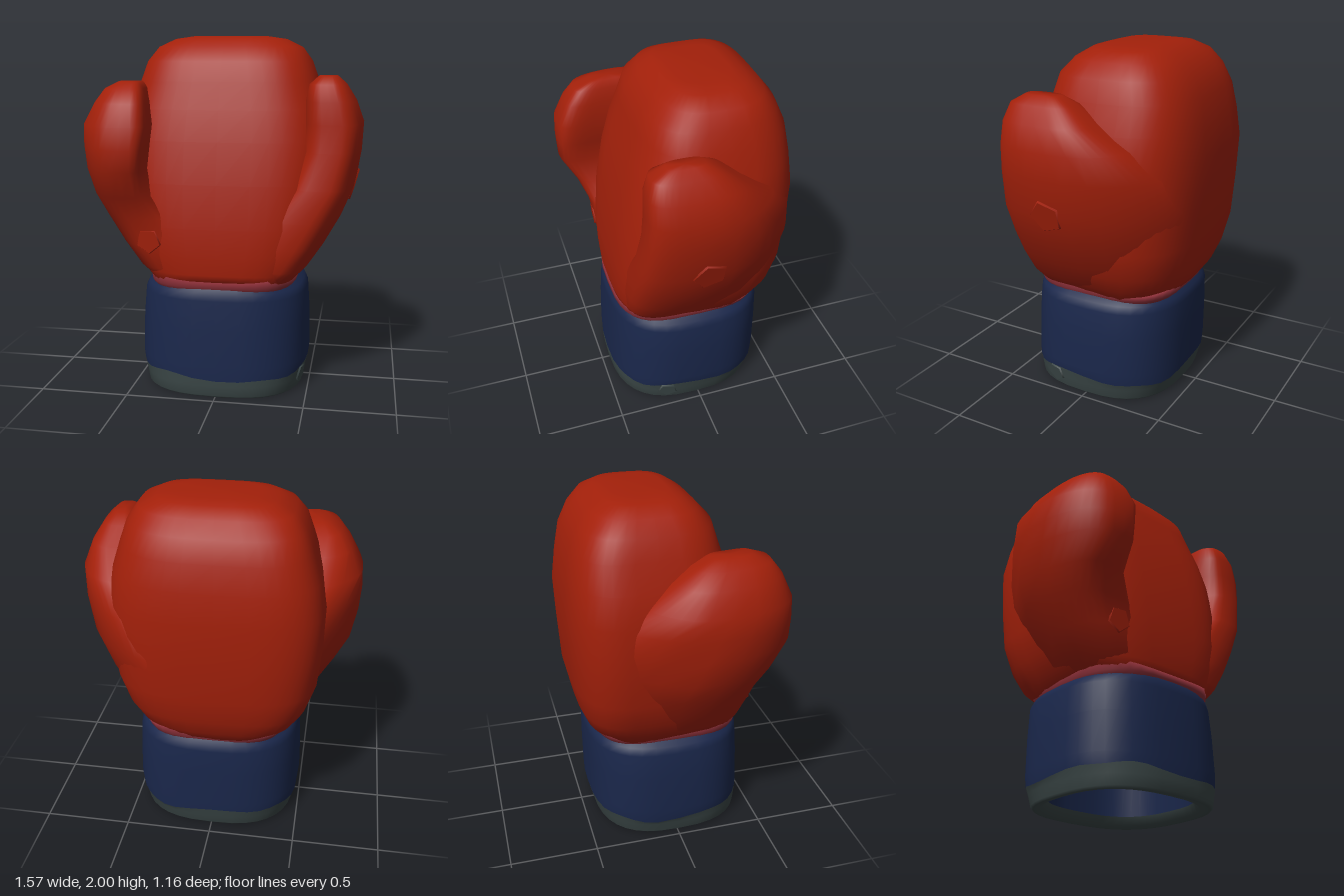
import * as THREE from 'three';

const mat = (name, color, side = THREE.FrontSide) => {
  const m = new THREE.MeshStandardMaterial({ color, side });
  m.name = name;
  return m;
};

// Rounded-box loft: each ring is [y, xMin, xMax, zBack, zFront].
// wave shifts y by angle and ring, slant shifts x by depth.
function loft(rings, { power = 2.7, seg = 36, capped = false, wave = () => 0, slant = () => 0 } = {}) {
  const pos = [], idx = [];
  const bend = (v) => Math.sign(v) * Math.pow(Math.abs(v), 2 / power);
  rings.forEach(([y, x0, x1, z0, z1], r) => {
    for (let i = 0; i < seg; i++) {
      const a = (i / seg) * Math.PI * 2;
      const z = (z0 + z1) / 2 + bend(Math.sin(a)) * (z1 - z0) / 2;
      const x = (x0 + x1) / 2 + bend(Math.cos(a)) * (x1 - x0) / 2;
      pos.push(x + slant(z), y + wave(a, r), z);
    }
  });
  for (let r = 0; r < rings.length - 1; r++) {
    for (let i = 0; i < seg; i++) {
      const a = r * seg + i, b = r * seg + (i + 1) % seg;
      idx.push(a, a + seg, b, b, a + seg, b + seg);
    }
  }
  const cap = (r, up) => {
    const [y, x0, x1, z0, z1] = rings[r];
    const c = pos.length / 3, zc = (z0 + z1) / 2;
    pos.push((x0 + x1) / 2 + slant(zc), y, zc);
    for (let i = 0; i < seg; i++) {
      const a = r * seg + i, b = r * seg + (i + 1) % seg;
      if (up) idx.push(c, b, a); else idx.push(c, a, b);
    }
  };
  if (capped) {
    cap(0, false);
    cap(rings.length - 1, true);
  }
  const g = new THREE.BufferGeometry();
  g.setAttribute('position', new THREE.Float32BufferAttribute(pos, 3));
  g.setIndex(idx);
  g.computeVertexNormals();
  return g;
}

// Symmetric ring helper
const ring = (y, hx, z0, z1) => [y, -hx, hx, z0, z1];

export function createModel() {
  const red = mat('red leather', 0xa3200a);
  const blue = mat('navy cuff', 0x1a274b, THREE.DoubleSide);
  const gray = mat('gray trim', 0x3b4747, THREE.DoubleSide);
  const rose = mat('rose seam', 0x8a2f38);

  const group = new THREE.Group();
  const add = (name, geo, m) => {
    const mesh = new THREE.Mesh(geo, m);
    mesh.name = name;
    group.add(mesh);
    return mesh;
  };

  // Main padded fist, its back leaning a little to the thumb side
  add('fist', loft([
    ring(0.64, 0.42, -0.43, 0.42),
    ring(0.7, 0.47, -0.48, 0.43),
    ring(0.8, 0.53, -0.52, 0.435),
    ring(0.96, 0.58, -0.555, 0.435),
    ring(1.2, 0.6, -0.57, 0.41),
    ring(1.43, 0.6, -0.58, 0.365),
    ring(1.6, 0.565, -0.56, 0.32),
    ring(1.75, 0.515, -0.535, 0.27),
    ring(1.86, 0.475, -0.485, 0.235),
    ring(1.94, 0.415, -0.42, 0.16),
    ring(1.985, 0.32, -0.34, 0.09),
    ring(2.0, 0.22, -0.27, 0.03),
  ], {
    power: 3.3, seg: 44, capped: true,
    wave: (a, r) => (r === 0 ? 0.014 * Math.sin(5 * a) : 0),
    slant: (z) => 0.12 * Math.min(0, z + 0.2),
  }), red);

  // Side padding on the model's left, sloping down towards the back
  add('leftPad', loft([
    [0.65, 0.05, 0.42, -0.32, 0.37],
    [0.72, 0.08, 0.49, -0.44, 0.395],
    [0.85, 0.12, 0.58, -0.51, 0.405],
    [1.0, 0.2, 0.665, -0.54, 0.4],
    [1.18, 0.36, 0.74, -0.54, 0.385],
    [1.38, 0.44, 0.772, -0.49, 0.365],
    [1.53, 0.45, 0.778, -0.34, 0.355],
    [1.65, 0.46, 0.735, -0.16, 0.35],
    [1.74, 0.48, 0.68, -0.05, 0.32],
    [1.785, 0.53, 0.63, 0.04, 0.24],
  ], { power: 3.2, capped: true, slant: (z) => (z < 0 ? -0.95 * z * z : 0) }), red);

  // Thumb on the model's right, pushed forwards and narrowing to the back
  add('thumb', loft([
    [0.65, -0.42, -0.05, -0.32, 0.35],
    [0.72, -0.49, -0.1, -0.42, 0.4],
    [0.85, -0.59, -0.15, -0.5, 0.41],
    [1.0, -0.68, -0.24, -0.51, 0.43],
    [1.13, -0.74, -0.37, -0.5, 0.49],
    [1.28, -0.775, -0.41, -0.46, 0.575],
    [1.4, -0.787, -0.4, -0.37, 0.58],
    [1.52, -0.782, -0.39, -0.22, 0.575],
    [1.64, -0.715, -0.41, -0.08, 0.52],
    [1.715, -0.655, -0.43, 0.03, 0.46],
    [1.752, -0.58, -0.46, 0.13, 0.36],
  ], {
    power: 3.2, capped: true,
    slant: (z) => (z < 0 ? -0.55 * z : 0.5 * Math.max(0, z - 0.13) ** 2),
  }), red);

  // Wrist seam between fist and cuff
  add('wristSeam', loft([
    ring(0.6, 0.41, -0.42, 0.41),
    ring(0.63, 0.425, -0.435, 0.43),
    ring(0.675, 0.435, -0.45, 0.43),
  ], { power: 3.3, capped: true, wave: (a, r) => (r === 2 ? 0.014 * Math.sin(3 * a) : 0) }), rose);

  // Cuff wall, with a ragged lower edge against the trim
  const rag = (a) => 0.012 * Math.sin(3 * a + 1) + 0.008 * Math.sin(7 * a);
  add('cuff', loft([
    ring(0.115, 0.485, -0.455, 0.462),
    ring(0.18, 0.493, -0.458, 0.462),
    ring(0.4, 0.487, -0.462, 0.455),
    ring(0.56, 0.475, -0.462, 0.445),
    ring(0.6, 0.455, -0.45, 0.44),
    ring(0.63, 0.415, -0.425, 0.42),
  ], { wave: (a, r) => (r === 0 ? rag(a) : 0) }), blue);

  // Trim band, turning under into the opening
  add('cuffTrim', loft([
    ring(0.06, 0.38, -0.35, 0.36),
    ring(0.012, 0.4, -0.37, 0.38),
    ring(0.0, 0.45, -0.415, 0.44),
    ring(0.012, 0.462, -0.425, 0.455),
    ring(0.07, 0.472, -0.44, 0.46),
    ring(0.115, 0.485, -0.455, 0.462),
  ], { wave: (a, r) => (r === 5 ? rag(a) : 0) }), gray);

  // Hollow inside of the cuff
  add('cuffLining', loft([
    ring(0.55, 0.36, -0.34, 0.35),
    ring(0.06, 0.38, -0.35, 0.36),
  ]), blue);
  const roof = add('liningRoof', new THREE.CircleGeometry(0.39, 24), blue);
  roof.rotation.x = Math.PI / 2;
  roof.position.y = 0.55;

  // Small five-sided patches set on the surface
  const patch = (name, m, position, normal, radius) => {
    const geo = new THREE.CylinderGeometry(radius * 0.92, radius, 0.009, 5);
    const mesh = add(name, geo, m);
    mesh.position.set(...position);
    mesh.quaternion.setFromUnitVectors(new THREE.Vector3(0, 1, 0), new THREE.Vector3(...normal).normalize());
  };
  patch('sidePatch', red, [0.734, 1.18, 0.05], [1, -0.29, 0], 0.1);
  patch('thumbPatch', red, [-0.38, 0.88, 0.414], [-0.06, -0.08, 1], 0.075);
  patch('trimPatch', gray, [0.459, 0.08, 0.2], [1, -0.2, 0.25], 0.06);

  return group;
}
